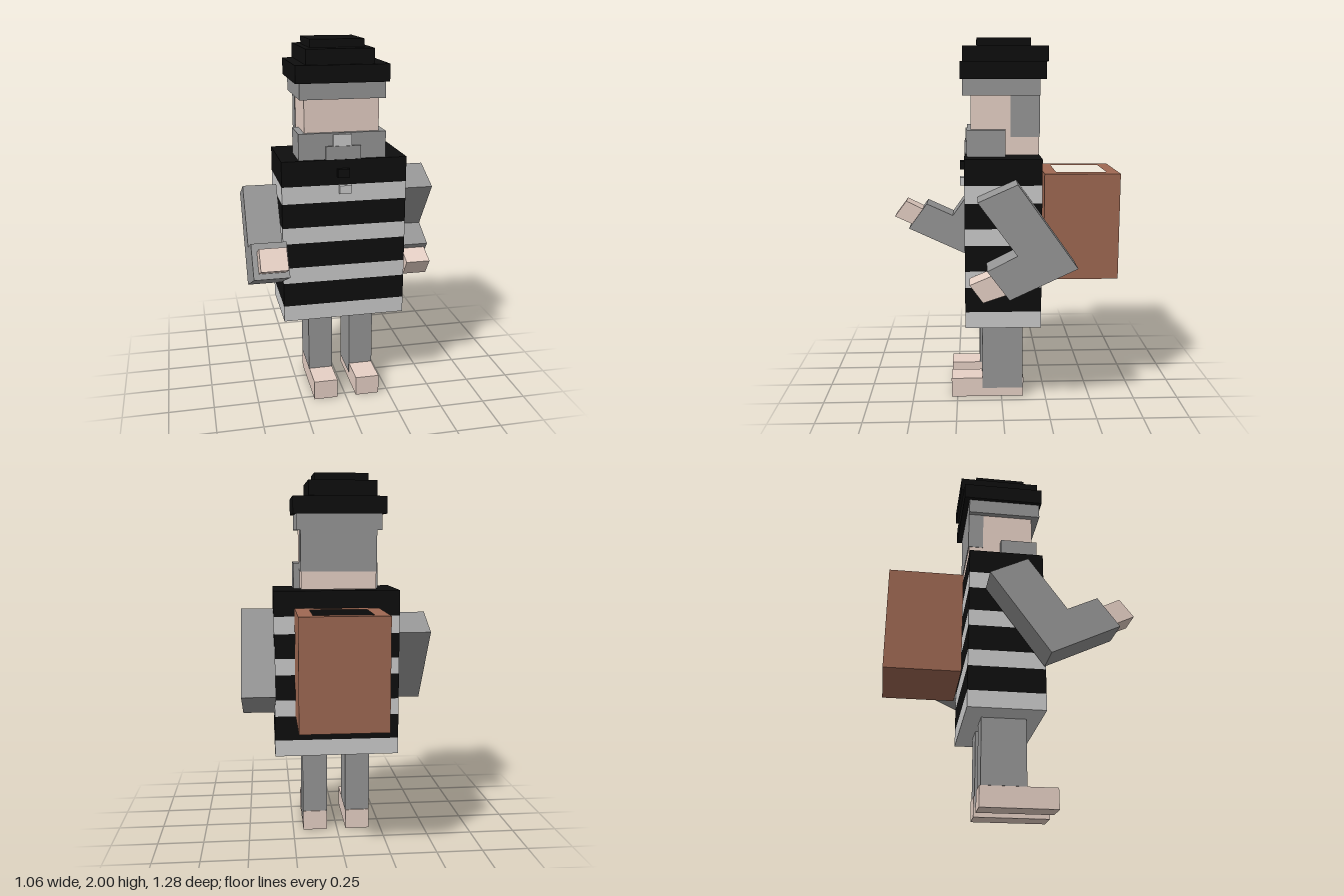
import * as THREE from 'three';

const mat = (color) => new THREE.MeshStandardMaterial({ color, flatShading: true });

export function createModel() {
  const model = new THREE.Group();
  const black = mat(0x0e0e0e), light = mat(0xcccccc), grey = mat(0x969696);
  const skin = mat(0xe6d0c5), brown = mat(0x9e6852), yellow = mat(0xcccc33);

  const add = (name, geometry, material) => {
    const mesh = new THREE.Mesh(geometry, material);
    mesh.name = name;
    model.add(mesh);
    return mesh;
  };
  // Box given by its limits on each axis
  const box = (name, material, [x0, x1], [y0, y1], [z0, z1]) => {
    const g = new THREE.BoxGeometry(x1 - x0, y1 - y0, z1 - z0);
    g.translate((x0 + x1) / 2, (y0 + y1) / 2, (z0 + z1) / 2);
    return add(name, g, material);
  };
  // Side outline of [z, y] points, extruded from x0 to x1
  const slab = (name, material, [x0, x1], points) => {
    const shape = new THREE.Shape(points.map(([z, y]) => new THREE.Vector2(-z, y)));
    const g = new THREE.ExtrudeGeometry(shape, { depth: x1 - x0, bevelEnabled: false });
    g.rotateY(Math.PI / 2).translate(x0, 0, 0);
    return add(name, g, material);
  };

  // Striped tunic, from hem to collar
  const stripes = [0.465, 0.555, 0.69, 0.78, 0.92, 1.01, 1.145, 1.24, 1.378];
  for (let i = 0; i < stripes.length - 1; i++) {
    box('tunicStripe' + (i + 1), i % 2 ? black : light,
      [-0.335, 0.35], [stripes[i], stripes[i + 1]], [-0.208, 0.2]);
  }
  box('tunicUpperButton', black, [-0.035, 0.03], [1.285, 1.33], [0.19, 0.227]);
  box('tunicLowerButton', light, [-0.025, 0.04], [1.195, 1.24], [0.19, 0.227]);

  // Legs and feet
  box('rightLeg', grey, [-0.185, -0.047], [0.11, 0.47], [-0.118, 0.12]);
  box('rightFoot', skin, [-0.183, -0.049], [0, 0.11], [-0.125, 0.283]);
  box('leftLeg', grey, [0.057, 0.195], [0.05, 0.47], [-0.12, 0.108]);
  box('leftFoot', skin, [0.059, 0.193], [0, 0.11], [-0.125, 0.283]);

  // Left arm, swung back and bent at the elbow
  slab('leftArm', grey, [0.345, 0.526], [
    [-0.07, 1.272], [0.132, 1.182], [-0.07, 0.906],
    [0.085, 0.827], [-0.03, 0.673], [-0.38, 0.837],
  ]);
  slab('leftHand', skin, [0.378, 0.514], [
    [0.175, 0.752], [0.05, 0.805], [-0.02, 0.7], [0.106, 0.657],
  ]);

  // Right arm, reaching forward
  slab('rightArm', grey, [-0.53, -0.348], [
    [0.08, 1.23], [-0.12, 1.135], [0.19, 0.7],
    [0.552, 0.869], [0.44, 1.023], [0.28, 0.949],
  ]);
  slab('rightHand', skin, [-0.503, -0.366], [
    [0.566, 1.038], [0.44, 0.975], [0.515, 0.885], [0.638, 0.943],
  ]);

  // Head, hair and beard
  box('neck', skin, [-0.1, 0.1], [1.36, 1.39], [-0.13, 0.1]);
  box('head', skin, [-0.205, 0.2], [1.385, 1.71], [-0.2, 0.165]);
  box('hairBack', grey, [-0.208, 0.203], [1.48, 1.71], [-0.204, -0.12]);
  box('hairLeftSide', grey, [0.1, 0.203], [1.48, 1.71], [-0.13, -0.047]);
  box('hairBand', grey, [-0.235, 0.225], [1.7, 1.79], [-0.204, 0.208]);
  box('beard', grey, [-0.24, 0.235], [1.376, 1.52], [-0.02, 0.186]);
  box('chin', grey, [-0.095, 0.097], [1.376, 1.45], [0.15, 0.198]);
  box('beardTuft', light, [-0.053, 0.047], [1.45, 1.512], [0.15, 0.194]);

  // Stepped hat
  box('hatBrim', black, [-0.257, 0.243], [1.785, 1.877], [-0.235, 0.22]);
  box('hatMiddle', black, [-0.2, 0.162], [1.877, 1.957], [-0.252, 0.207]);
  box('hatTop', black, [-0.165, 0.125], [1.957, 2], [-0.16, 0.13]);

  // Open pack on the back, with its walls, floor and contents
  const rect = (C, x0, x1, z0, z1) => new C(
    [[x0, -z0], [x1, -z0], [x1, -z1], [x0, -z1]].map(([x, y]) => new THREE.Vector2(x, y)));
  const rim = rect(THREE.Shape, -0.217, 0.238, -0.64, -0.23);
  rim.holes.push(rect(THREE.Path, -0.142, 0.163, -0.575, -0.3));
  const walls = new THREE.ExtrudeGeometry(rim, { depth: 0.583, bevelEnabled: false });
  walls.rotateX(-Math.PI / 2).translate(0, 0.702, 0);
  add('packWalls', walls, brown);
  box('packFloor', brown, [-0.142, 0.163], [0.702, 0.76], [-0.575, -0.3]);
  box('packContents', yellow, [-0.142, 0.163], [0.76, 1.215], [-0.575, -0.3]);

  return model;
}
